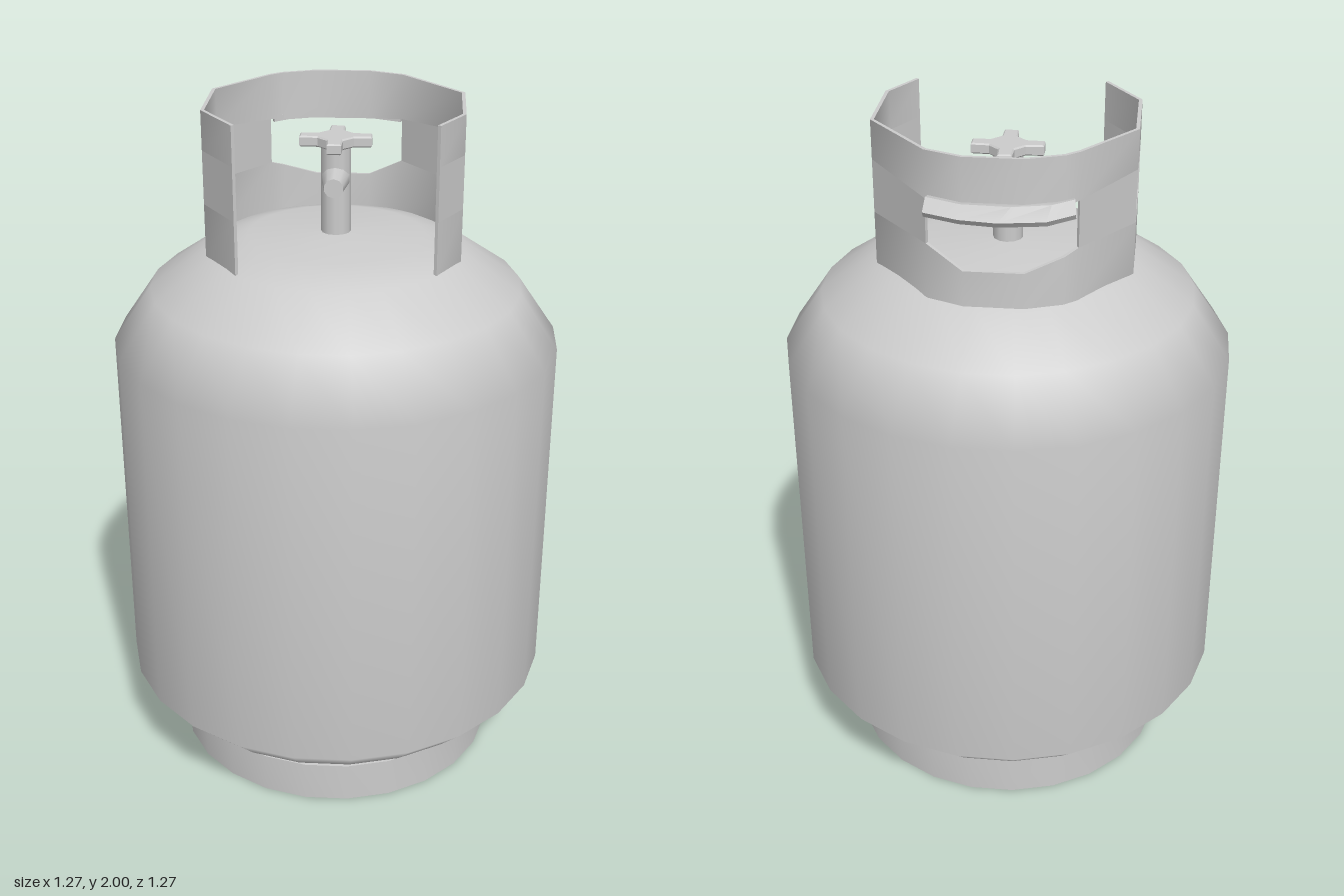
import * as THREE from 'three';
import { toCreasedNormals } from 'three/addons/utils/BufferGeometryUtils.js';

const material = new THREE.MeshStandardMaterial({ color: 0xcccccc, side: THREE.DoubleSide });

function add(parent, name, geometry, x = 0, y = 0, z = 0) {
  const mesh = new THREE.Mesh(geometry, material);
  mesh.name = name;
  mesh.position.set(x, y, z);
  parent.add(mesh);
  return mesh;
}

function lathe(points, sides = 24) {
  const profile = points.map(([r, y]) => new THREE.Vector2(r, y));
  return new THREE.LatheGeometry(profile, sides, Math.PI / sides);
}

// Sweeps four-cornered sections into a closed solid; each section is a loop of [x, y, z]
function loft(sections) {
  const n = sections[0].length;
  const index = [];
  for (let i = 0; i < sections.length - 1; i++) {
    for (let j = 0; j < n; j++) {
      const a = i * n + j, b = i * n + (j + 1) % n;
      index.push(a, b, a + n, b, b + n, a + n);
    }
  }
  const last = (sections.length - 1) * n;
  for (let j = 1; j < n - 1; j++) {
    index.push(0, j + 1, j, last, last + j, last + j + 1);
  }
  const geometry = new THREE.BufferGeometry();
  geometry.setAttribute('position', new THREE.Float32BufferAttribute(sections.flat(2), 3));
  geometry.setIndex(index);
  return toCreasedNormals(geometry, 0.8);
}

// Collar plan, from its right front end round the back to its left front end:
// x, z, top of the lower band, bottom of the upper band
const collarPlan = [
  [-0.255, 0.265, 1.74, 1.89], [-0.355, 0.115, 1.74, 1.89],
  [-0.355, -0.12, 1.74, 1.89], [-0.215, -0.30, 1.74, 1.87],
  [-0.18, -0.33, 1.725, 1.865], [-0.08, -0.367, 1.69, 1.86],
  [0.08, -0.367, 1.69, 1.86], [0.18, -0.325, 1.745, 1.87],
  [0.352, -0.12, 1.74, 1.89], [0.352, 0.115, 1.74, 1.89],
  [0.285, 0.235, 1.74, 1.89],
];

// Thin upright strip following part of the collar plan
function strip(from, to, bottom, top) {
  const k = 0.972;
  return loft(collarPlan.slice(from, to + 1).map((p) => {
    const [x, z] = p, b = bottom(p), t = top(p);
    return [[x, b, z], [x, t, z], [x * k, t, z * k], [x * k, b, z * k]];
  }));
}

export function createModel() {
  const model = new THREE.Group();
  model.name = 'gasCylinder';

  // Pressure vessel
  add(model, 'tank', lathe([
    [0, 0.125], [0.45, 0.125], [0.56, 0.19], [0.64, 0.27], [0.64, 1.32],
    [0.53, 1.48], [0.37, 1.59], [0.25, 1.625], [0, 1.635],
  ]));

  // Open foot ring
  add(model, 'footRing', toCreasedNormals(lathe([
    [0.472, 0], [0.485, 0], [0.485, 0.122], [0.472, 0.122], [0.472, 0],
  ]), 0.7));

  // Collar: two bands joined by four solid panels, leaving three windows
  const collar = new THREE.Group();
  collar.name = 'collar';
  model.add(collar);
  add(collar, 'lowerBand', strip(0, 10, () => 1.59, (p) => p[2]));
  add(collar, 'upperBand', strip(0, 10, (p) => p[3], () => 2));
  for (const i of [0, 2, 7, 9]) {
    add(collar, 'panel', strip(i, i + 1, (p) => p[2], (p) => p[3]));
  }

  // Rolled carrying lip over the back window: inner x, z and outer x, z
  const lipPlan = [
    [-0.20, -0.30, -0.21, -0.375], [-0.16, -0.332, -0.14, -0.43],
    [-0.08, -0.36, -0.02, -0.45], [0.08, -0.36, 0.08, -0.438],
    [0.17, -0.32, 0.175, -0.40],
  ];
  add(collar, 'carryingLip', loft(lipPlan.map(([x, z, u, w]) => {
    const mx = (x + u) / 2, mz = (z + w) / 2;
    return [[x, 1.86, z], [mx, 1.868, mz], [u, 1.846, w + 0.012],
      [u, 1.862, w], [mx, 1.888, mz], [x, 1.878, z]];
  })));

  // Valve stem, outlet and cross handle
  const valve = new THREE.Group();
  valve.name = 'valve';
  model.add(valve);
  add(valve, 'stem', new THREE.CylinderGeometry(0.042, 0.042, 0.28, 12), 0, 1.75, 0);
  const outlet = add(valve, 'outlet', new THREE.CylinderGeometry(0.027, 0.04, 0.1, 10), 0, 1.79, 0.065);
  outlet.rotation.x = Math.PI / 2;

  const cross = new THREE.Shape();
  const arm = [[0.02, 0.1], [0.022, 0.05], [0.05, 0.022], [0.1, 0.02],
    [0.1, -0.02], [0.05, -0.022], [0.022, -0.05], [0.02, -0.1]];
  cross.setFromPoints([...arm, ...arm.map(([x, y]) => [-x, -y])]
    .map(([x, y]) => new THREE.Vector2(x, y)));
  const handle = add(valve, 'handle', new THREE.ExtrudeGeometry(cross, {
    depth: 0.022, bevelEnabled: true, bevelSize: 0.004, bevelThickness: 0.004,
    bevelOffset: -0.004, bevelSegments: 1,
  }), 0, 1.882, 0);
  handle.rotation.x = -Math.PI / 2;

  return model;
}
